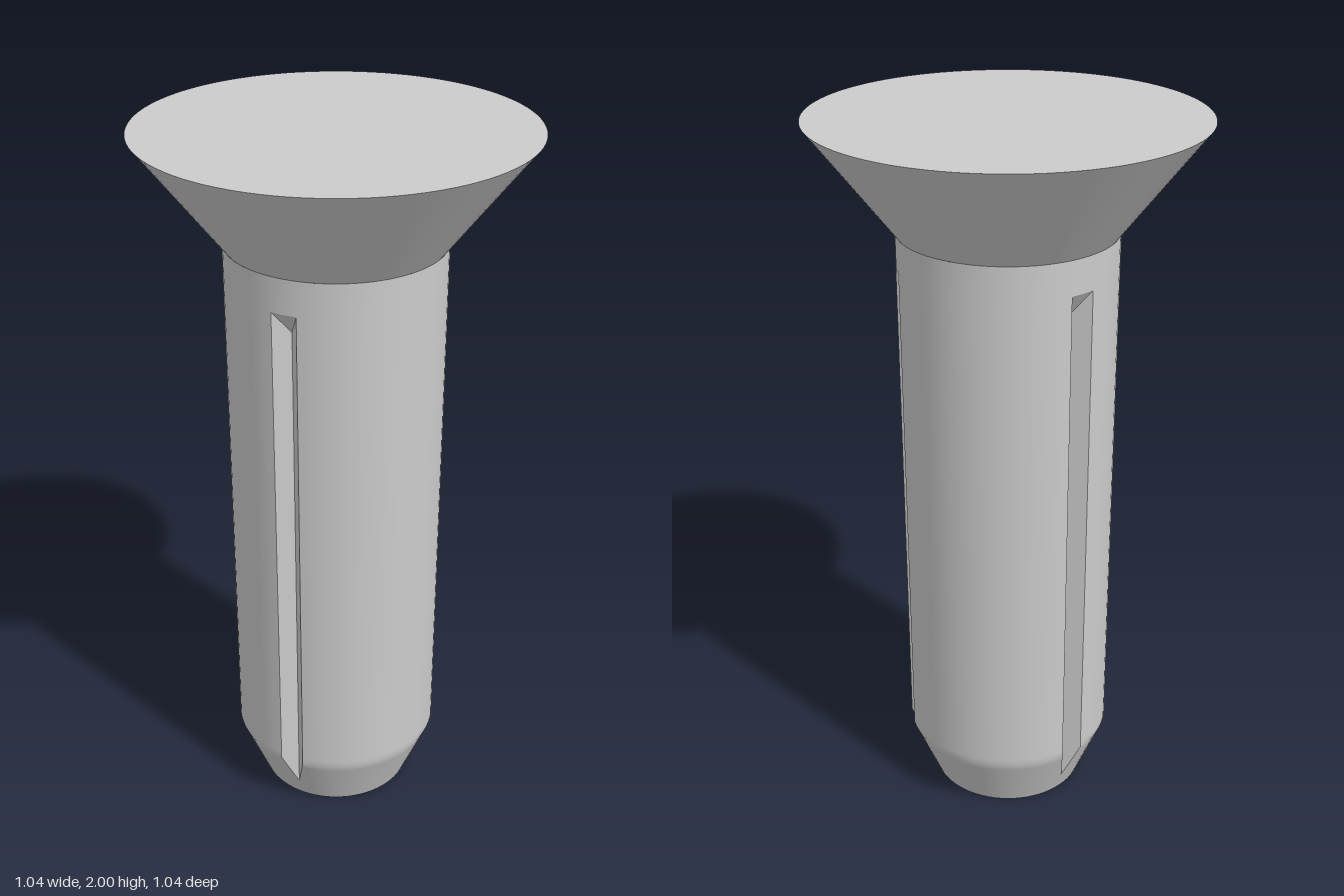
import * as THREE from 'three';
import { toCreasedNormals } from 'three/addons/utils/BufferGeometryUtils.js';

const R = 0.295, TIP = 0.222, CHAMFER = 0.18;  // shank radius, tip radius, chamfer height
const ROOT = 0.25, SLOPE = 0.816;              // groove root radius, V half width per depth
const GROOVE_LOW = CHAMFER * (ROOT - TIP) / (R - TIP);
const GROOVE_TOP = 1.61, ROOT_TOP = 1.545, NECK = 1.705, TOP = 2;
const SECTOR = Math.PI * 2 / 3, STEPS = 24;

const radiusAt = y => Math.min(R, TIP + (R - TIP) * y / CHAMFER);

// half angle of the V groove where it breaks a circle of radius r
const halfAngle = r => r <= ROOT + 1e-6 ? 0
  : Math.acos(ROOT * SLOPE / (r * Math.hypot(1, SLOPE))) - Math.atan(1 / SLOPE);

const point = (r, angle, y) => new THREE.Vector3(r * Math.cos(angle), y, r * Math.sin(angle));

function shankGeometry() {
  const data = [];
  const tri = (a, b, c) => {
    const area = b.clone().sub(a).cross(c.clone().sub(a)).length();
    if (area > 1e-9) for (const p of [a, b, c]) data.push(p.x, p.y, p.z);
  };
  const quad = (a, b, c, d) => { tri(a, b, c); tri(a, c, d); };

  // heights of the cross-sections, with extra ones along the groove's taper
  const rows = [0, GROOVE_LOW, 0.09, 0.11, 0.135, 0.16, CHAMFER, 0.2, 1.58, GROOVE_TOP, NECK];

  for (let s = 0; s < 3; s++) {
    const mid = s * SECTOR;
    for (let i = 0; i < rows.length - 1; i++) {
      const y0 = rows[i], y1 = rows[i + 1];
      const r0 = radiusAt(y0), r1 = radiusAt(y1);
      const a0 = halfAngle(r0), a1 = halfAngle(r1);

      // round wall between this groove and the next
      const angle = (a, j) => mid + a + (SECTOR - 2 * a) * j / STEPS;
      for (let j = 0; j < STEPS; j++) {
        quad(point(r0, angle(a0, j + 1), y0), point(r0, angle(a0, j), y0),
          point(r1, angle(a1, j), y1), point(r1, angle(a1, j + 1), y1));
        if (i === 0) tri(point(0, 0, 0), point(r0, angle(a0, j), 0), point(r0, angle(a0, j + 1), 0));
      }

      const right0 = point(r0, mid - a0, y0), left0 = point(r0, mid + a0, y0);
      const right1 = point(r1, mid - a1, y1), left1 = point(r1, mid + a1, y1);
      if (y0 >= GROOVE_TOP) {
        // plain collar above the groove
        const m0 = point(r0, mid, y0), m1 = point(r1, mid, y1);
        quad(m0, right0, right1, m1);
        quad(left0, m0, m1, left1);
      } else if (y0 >= GROOVE_LOW) {
        // the two flanks of the groove
        const root0 = point(ROOT, mid, Math.min(y0, ROOT_TOP));
        const root1 = point(ROOT, mid, Math.min(y1, ROOT_TOP));
        quad(root0, right0, right1, root1);
        quad(left0, root0, root1, left1);
        // sloping upper end of the groove
        if (y1 === GROOVE_TOP) {
          const m = point(r1, mid, y1);
          tri(root1, right1, m);
          tri(root1, m, left1);
        }
      }
    }
  }
  const geometry = new THREE.BufferGeometry();
  geometry.setAttribute('position', new THREE.Float32BufferAttribute(data, 3));
  return toCreasedNormals(geometry, 0.5);
}

export function createModel() {
  const group = new THREE.Group();
  group.name = 'countersunkGroovedPin';
  const material = new THREE.MeshStandardMaterial({ color: 0xcccccc });

  // chamfered shank with three V grooves
  const shank = new THREE.Mesh(shankGeometry(), material);
  shank.name = 'shank';

  // flat-topped conical head
  const head = new THREE.Mesh(new THREE.CylinderGeometry(0.522, R, TOP - NECK, 96), material);
  head.name = 'head';
  head.position.y = (TOP + NECK) / 2;

  group.add(shank, head);
  return group;
}
